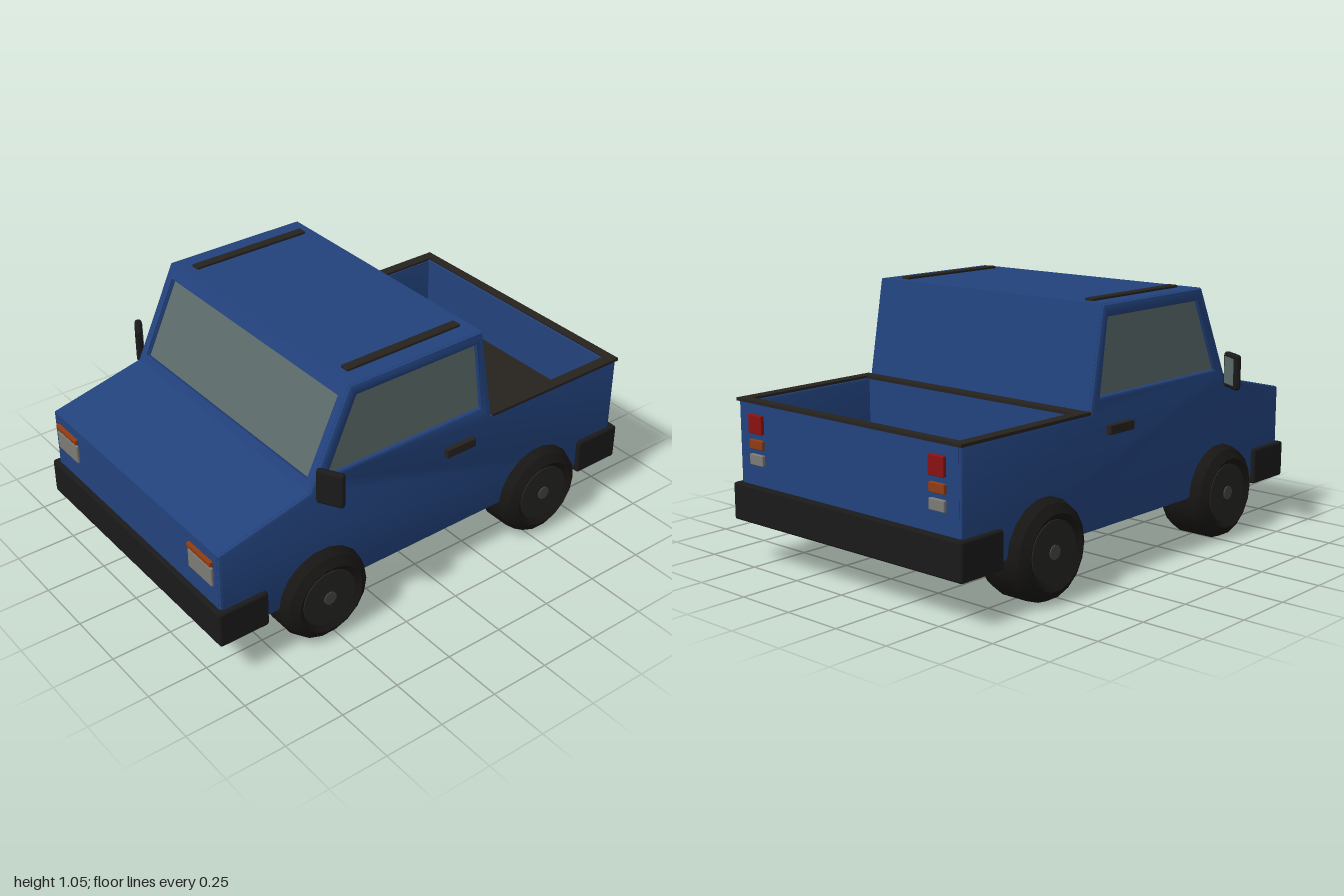
import * as THREE from 'three';
import { toCreasedNormals } from 'three/addons/utils/BufferGeometryUtils.js';
import { RoundedBoxGeometry } from 'three/addons/geometries/RoundedBoxGeometry.js';

const paint = (color) => new THREE.MeshStandardMaterial({ color });
const blue = paint(0x22427c), black = paint(0x1a1a1a), trim = paint(0x26221e), glass = paint(0x5a6a69);
const rubber = paint(0x171614), rimGrey = paint(0x242322), hubGrey = paint(0x444444);
const lamp = paint(0x7c7a74), orange = paint(0x8f3c14), red = paint(0x8a1212);

const polygon = (points) => points.map(([x, y]) => new THREE.Vector2(x, y));
const rect = (x0, x1, y0, y1) => polygon([[x0, y0], [x1, y0], [x1, y1], [x0, y1]]);

// Extruded outline with an optional hole
function plate(outline, hole, depth, bevel = 0) {
  const shape = new THREE.Shape(outline);
  if (hole) shape.holes.push(new THREE.Path(hole));
  return new THREE.ExtrudeGeometry(shape, {
    depth, bevelEnabled: bevel > 0, bevelSize: bevel, bevelThickness: bevel, bevelOffset: -bevel, bevelSegments: 2,
  });
}

export function createModel() {
  const model = new THREE.Group();
  model.name = 'pickupTruck';

  function add(name, geometry, material, x = 0, y = 0, z = 0) {
    const mesh = new THREE.Mesh(geometry, material);
    mesh.name = name;
    mesh.position.set(x, y, z);
    model.add(mesh);
    return mesh;
  }
  // Box given by its limits
  function block(name, material, [x0, x1], [y0, y1], [z0, z1], r = 0.004) {
    const g = new RoundedBoxGeometry(x1 - x0, y1 - y0, z1 - z0, 1, r);
    return add(name, g, material, (x0 + x1) / 2, (y0 + y1) / 2, (z0 + z1) / 2);
  }
  // Cross panel between the sides, from one [z, y] point to the next, thickened inwards
  function panel(name, [z0, y0], [z1, y1], thickness = 0.04, opening = null) {
    const angle = Math.atan2(z1 - z0, y1 - y0);
    const length = Math.hypot(z1 - z0, y1 - y0);
    const place = (g, inset) => g.translate(0, 0, -inset).rotateX(angle);
    add(name, place(plate(rect(-0.577, 0.577, 0, length), opening, thickness), thickness), blue, 0, y0, z0);
    if (opening) add(name + 'Glass', place(plate(opening, null, 0.01), 0.025), glass, 0, y0, z0);
  }

  // Body shell, open underneath
  const side = polygon([[0.98, 0.2], [0.98, 0.57], [0.58, 0.665], [0.4, 1.05], [-0.22, 1.05],
    [-0.29, 0.655], [-0.975, 0.655], [-0.975, 0.2]]);
  const sideWindow = polygon([[0.5, 0.71], [-0.23, 0.71], [-0.19, 1.0], [0.37, 1.0]]);
  for (const s of [1, -1]) {
    const label = s > 0 ? 'left' : 'right';
    const wall = plate(side, sideWindow, 0.02, 0.015).translate(0, 0, -0.01).rotateY(-Math.PI / 2);
    add(label + 'BodySide', toCreasedNormals(wall, 0.6), blue, s * 0.565);
    const pane = plate(sideWindow, null, 0.01).translate(0, 0, -0.005).rotateY(-Math.PI / 2);
    add(label + 'SideWindow', pane, glass, s * 0.57);
  }
  panel('frontPanel', [0.98, 0.2], [0.98, 0.57]);
  panel('hood', [0.98, 0.57], [0.58, 0.665]);
  panel('windshield', [0.58, 0.665], [0.4, 1.05], 0.04, rect(-0.545, 0.545, 0.039, 0.37));
  panel('roof', [0.4, 1.05], [-0.22, 1.05]);
  panel('cabBack', [-0.22, 1.05], [-0.29, 0.655]);
  panel('bedFrontWall', [-0.34, 0.65], [-0.34, 0.4]);
  panel('tailgate', [-0.975, 0.655], [-0.975, 0.2], 0.045);

  // Load bed
  block('bedFloor', trim, [-0.56, 0.56], [0.39, 0.42], [-0.95, -0.31]);
  const rim = plate(rect(-0.594, 0.594, 0.295, 0.98), rect(-0.548, 0.548, 0.345, 0.94), 0.012);
  add('bedRim', rim.rotateX(-Math.PI / 2), trim, 0, 0.65, 0);

  // Bumpers
  block('frontBumper', black, [-0.61, 0.61], [0.18, 0.33], [0.785, 1], 0.01);
  block('rearBumper', black, [-0.61, 0.61], [0.18, 0.33], [-1, -0.785], 0.01);

  // Wheel parts, turned about the x axis
  const tyreProfile = polygon([[0, -0.1], [0.12, -0.1], [0.145, -0.1175], [0.18, -0.095], [0.195, -0.057],
    [0.195, 0.057], [0.18, 0.095], [0.145, 0.1175], [0.12, 0.1], [0, 0.1]]);
  const tyre = toCreasedNormals(new THREE.LatheGeometry(tyreProfile, 18).rotateZ(-Math.PI / 2), 0.5);
  const rimDisc = new THREE.CylinderGeometry(0.12, 0.122, 0.02, 18).rotateZ(-Math.PI / 2);
  const hub = new THREE.CylinderGeometry(0.028, 0.028, 0.02, 12).rotateZ(-Math.PI / 2);

  for (const s of [1, -1]) {
    const label = s > 0 ? 'left' : 'right';
    const span = (a, b) => (s > 0 ? [a, b] : [-b, -a]);

    for (const [end, z] of [['Front', 0.535], ['Rear', -0.555]]) {
      const wheel = new THREE.Group();
      wheel.name = label + end + 'Wheel';
      for (const [name, g, m, x] of [['tyre', tyre, rubber, 0], ['rim', rimDisc, rimGrey, 0.095], ['hub', hub, hubGrey, 0.1]]) {
        const mesh = new THREE.Mesh(g, m);
        mesh.name = name;
        mesh.position.x = x;
        wheel.add(mesh);
      }
      wheel.position.set(s * 0.5375, 0.2, z);
      wheel.rotation.y = s > 0 ? 0 : Math.PI;
      model.add(wheel);
    }

    // Lights
    block(label + 'Headlight', lamp, span(0.4, 0.553), [0.42, 0.5], [0.96, 0.99]);
    block(label + 'FrontIndicator', orange, span(0.4, 0.553), [0.508, 0.53], [0.96, 0.994]);
    block(label + 'TailLight', red, span(0.442, 0.518), [0.535, 0.61], [-0.99, -0.96]);
    block(label + 'RearIndicator', orange, span(0.442, 0.518), [0.475, 0.512], [-0.988, -0.96]);
    block(label + 'ReverseLight', lamp, span(0.442, 0.518), [0.412, 0.455], [-0.988, -0.96]);

    // Roof rail and door handle
    block(label + 'RoofRail', trim, span(0.465, 0.505), [1.04, 1.06], [-0.18, 0.35]);
    block(label + 'DoorHandle', trim, span(0.57, 0.61), [0.56, 0.598], [-0.197, -0.052]);

    // Mirror, swept back at the outer end, with glass on its rear face
    const mirror = add(label + 'Mirror', new RoundedBoxGeometry(0.11, 0.145, 0.03, 2, 0.013), black, s * 0.65, 0.707, 0.535);
    mirror.rotation.y = s * 0.52;
    const mirrorGlass = new THREE.Mesh(new RoundedBoxGeometry(0.08, 0.11, 0.006, 1, 0.002), glass);
    mirrorGlass.name = 'mirrorGlass';
    mirrorGlass.position.z = -0.014;
    mirror.add(mirrorGlass);
  }
  return model;
}
